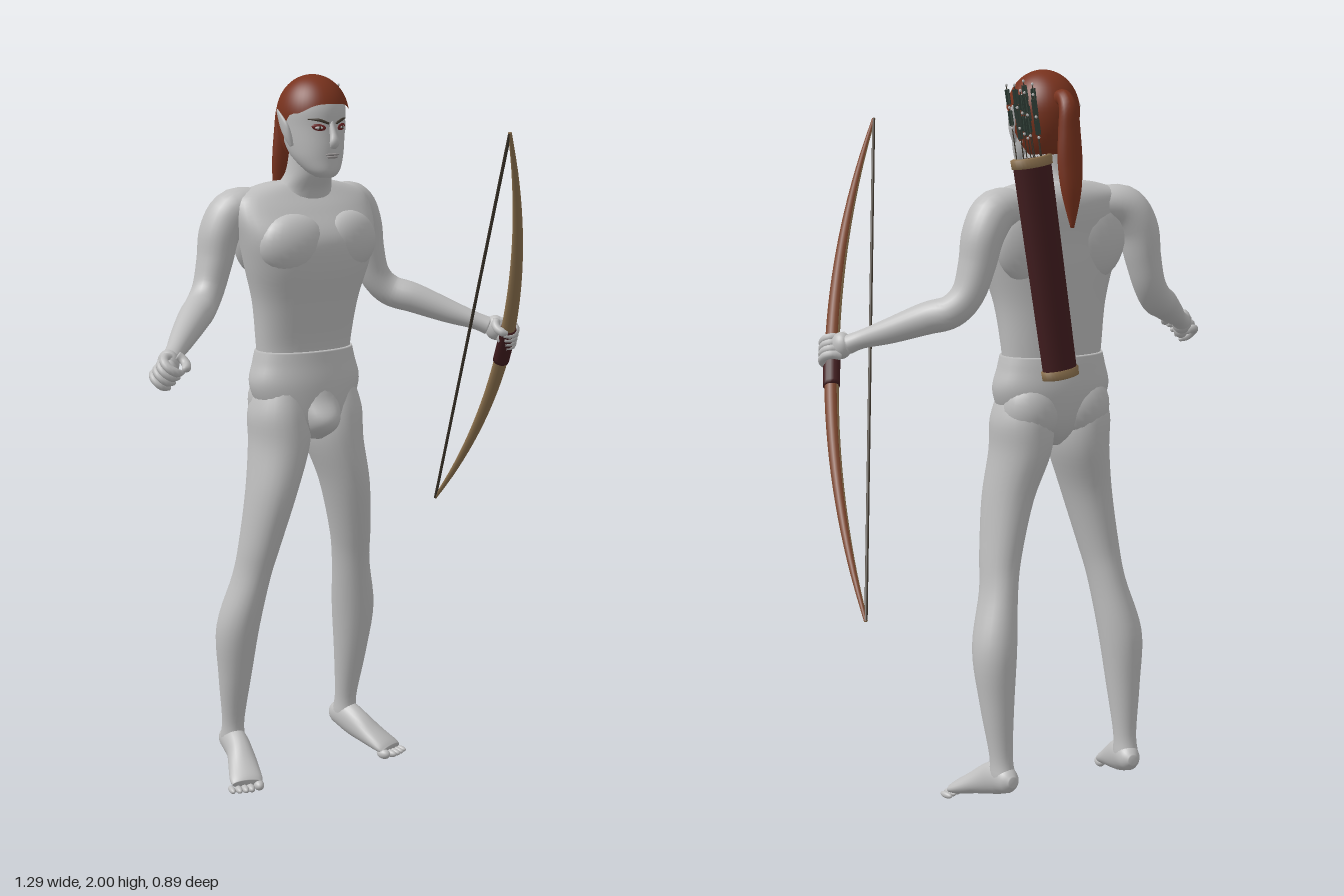
import * as THREE from 'three';
import { mergeVertices } from 'three/addons/utils/BufferGeometryUtils.js';

const V = (x, y, z) => new THREE.Vector3(x, y, z);
const paint = (name, color) => Object.assign(new THREE.MeshStandardMaterial({ color }), { name });

// Smooth interpolation of a list of number rows at t in 0..1
function sample(rows, t) {
  const f = t * (rows.length - 1), i = Math.min(Math.floor(f), rows.length - 2), u = f - i;
  const at = k => rows[Math.max(0, Math.min(rows.length - 1, k))];
  const [a, b, c, d] = [at(i - 1), at(i), at(i + 1), at(i + 2)];
  return b.map((_, k) => b[k] + 0.5 * u * (c[k] - a[k] + u * (2 * a[k] - 5 * b[k] + 4 * c[k] - d[k]
    + u * (3 * (b[k] - c[k]) + d[k] - a[k]))));
}

// Closed skin over elliptical rings; each row is [x, y, z, half width, half depth]
function skin(rows, { n = 24, steps = 5, ref = V(0, 0, 1), level = false, e = 2 } = {}) {
  const rings = (rows.length - 1) * steps, pos = [], index = [];
  const centre = t => V(...sample(rows, Math.max(0, Math.min(1, t))).slice(0, 3));
  for (let i = 0; i <= rings; i++) {
    const t = i / rings, r = sample(rows, t), c = V(r[0], r[1], r[2]);
    const T = centre(t + 0.01).sub(centre(t - 0.01));
    if (level) T.set(0, Math.sign(T.y), 0);
    T.normalize();
    const F = ref.clone().addScaledVector(T, -ref.dot(T)).normalize(), S = F.clone().cross(T);
    for (let j = 0; j < n; j++) {
      const q = j / n * Math.PI * 2 - Math.PI / 3, round = v => Math.sign(v) * Math.abs(v) ** (2 / e);
      const p = c.clone().addScaledVector(S, Math.max(r[3], 0.001) * round(Math.cos(q)))
        .addScaledVector(F, Math.max(r[4], 0.001) * round(Math.sin(q)));
      pos.push(p.x, p.y, p.z);
    }
  }
  for (let j = 0; j < n; j++) for (let i = 0; i < rings; i++) {
    const k = (j + 1) % n, a = i * n + j, b = i * n + k;
    index.push(a, b, b + n, a, b + n, a + n);
  }
  pos.push(...rows[0].slice(0, 3), ...rows[rows.length - 1].slice(0, 3));
  const end = (rings + 1) * n;
  for (let j = 0; j < n; j++) {
    const k = (j + 1) % n;
    index.push(end, k, j, end + 1, rings * n + j, rings * n + k);
  }
  const g = new THREE.BufferGeometry();
  g.setAttribute('position', new THREE.Float32BufferAttribute(pos, 3));
  g.setIndex(index);
  g.computeVertexNormals();
  return g;
}

export function createModel() {
  const flesh = paint('grey skin', 0xbebebe), hairRed = paint('auburn hair', 0x78321d);
  const tan = paint('tan wood', 0x8f7450), redWood = paint('red wood', 0x7a4228);
  const leather = paint('dark leather', 0x421d1f), feather = paint('dark feather', 0x33423a);
  const cord = paint('dark cord', 0x40382e), eyeRed = paint('eye red', 0x6c2424), lipGrey = paint('lip grey', 0x969292);
  const model = new THREE.Group(), figure = new THREE.Group();
  model.name = 'archer';
  figure.name = 'figure';
  figure.position.x = -0.055;
  model.add(figure);
  const add = (name, g, mat, parent = figure) => {
    const m = new THREE.Mesh(g, mat);
    m.name = name;
    parent.add(m);
    return m;
  };
  const ball = (name, mat, p, s, ry = 0, rz = 0) => {
    const m = add(name, new THREE.SphereGeometry(1, 24, 16), mat);
    m.position.set(...p);
    m.scale.set(...s);
    m.rotation.set(0, ry, rz);
  };
  const stack = rows => rows.map(r => [0, ...r]);

  // Trunk: rows are [height, z, half width, half depth]
  add('torso', skin(stack([[1.2, -.15, .14, .085], [1.27, -.15, .146, .088], [1.38, -.14, .16, .102], [1.48, -.13, .188, .118],
    [1.56, -.13, .207, .12], [1.63, -.155, .218, .1], [1.675, -.17, .2, .078], [1.703, -.17, .12, .055], [1.71, -.165, .06, .04]]),
  { level: true, e: 2.2, n: 40 }), flesh);
  add('neck', skin(stack([[1.65, -.165, .11, .08], [1.69, -.15, .082, .073], [1.735, -.12, .064, .066], [1.8, -.105, .06, .062]]),
    { level: true }), flesh);
  add('briefs', skin(stack([[.995, -.125, .025, .06], [1.03, -.13, .08, .088], [1.08, -.14, .14, .1], [1.15, -.147, .17, .104],
    [1.21, -.15, .158, .097], [1.245, -.15, .15, .092]]), { level: true, e: 2.1, n: 40 }), flesh);
  add('pouch', skin(stack([[.995, -.085, .012, .02], [1.025, -.066, .04, .05], [1.06, -.062, .054, .058], [1.11, -.083, .062, .05],
    [1.17, -.1, .06, .045], [1.2, -.11, .03, .02]]), { level: true }), flesh);

  // Head: skull, face and nose
  add('head', skin(stack([[1.727, -.04, .024, .028], [1.743, -.052, .046, .049], [1.775, -.075, .066, .073], [1.81, -.09, .076, .089],
    [1.86, -.1, .083, .097], [1.91, -.1, .086, .098], [1.95, -.1, .073, .084], [1.98, -.1, .04, .05], [1.988, -.1, .01, .01]]),
  { level: true, n: 36 }), flesh);
  add('nose', skin([[0, 1.875, -.012, .008, .01], [0, 1.845, .001, .009, .011], [0, 1.822, .008, .014, .012],
    [0, 1.808, .001, .01, .008]], { n: 14 }), flesh);
  ball('upperLip', lipGrey, [0, 1.789, -.002], [.022, .0035, .006]);
  ball('lowerLip', lipGrey, [0, 1.782, -.003], [.018, .004, .006]);

  for (const s of [1, -1]) {
    const side = s > 0 ? 'left' : 'right', flip = rows => rows.map(r => [r[0] * s, ...r.slice(1)]);
    ball(side + 'Chest', flesh, [.09 * s, 1.545, -.066], [.1, .085, .056], .2 * s);
    ball(side + 'ShoulderBlade', flesh, [.095 * s, 1.56, -.2], [.1, .12, .05]);
    ball(side + 'Buttock', flesh, [.073 * s, 1.1, -.177], [.085, .095, .074]);

    // Eyes and brows
    ball(side + 'EyeShadow', eyeRed, [.036 * s, 1.862, -.014], [.0195, .0095, .005], .47 * s, .15 * s);
    ball(side + 'Eyeball', flesh, [.037 * s, 1.861, -.012], [.012, .0045, .005], .47 * s);
    ball(side + 'Pupil', cord, [.036 * s, 1.861, -.009], [.0045, .0045, .003], .47 * s);
    add(side + 'Brow', skin(flip([[.012, 1.872, -.001, .003, .003], [.036, 1.881, -.011, .004, .003], [.06, 1.884, -.032, .002, .002]]),
      { n: 8 }), cord);
    add(side + 'Ear', skin(flip([[.078, 1.81, -.084, .005, .007], [.085, 1.835, -.09, .009, .015], [.092, 1.862, -.098, .008, .019],
      [.098, 1.888, -.11, .005, .011], [.102, 1.907, -.119, .002, .003]]), { n: 14 }), flesh);

    // Arm from shoulder to wrist
    add(side + 'Arm', skin(flip([[.1, 1.64, -.175, .045, .055], [.19, 1.637, -.195, .058, .062], [.234, 1.58, -.205, .055, .063],
      [.253, 1.5, -.205, .048, .056], [.277, 1.425, -.2, .043, .049], [.315, 1.378, -.178, .044, .046], [.365, 1.357, -.13, .043, .044],
      [.44, 1.32, -.06, .034, .034], [.495, 1.295, -.005, .025, .026], [.525, 1.28, .02, .026, .03]])), flesh);

    // Hand closed round a bar lying along the axis
    const axis = V(.276 * s, -.774, -.569), mid = V(.55 * s, 1.257, .06);
    const u = V(-.035 * s, .03, -.04).projectOnPlane(axis).normalize();
    const w = axis.clone().cross(u).multiplyScalar(s);
    const finger = (along, from, to, r) => [0, 1, 2, 3, 4, 5].map(k => {
      const q = from + (to - from) * k / 5;
      const p = mid.clone().addScaledVector(axis, along).addScaledVector(u, .03 * Math.cos(q)).addScaledVector(w, .03 * Math.sin(q));
      return [p.x, p.y, p.z, k === 5 ? r * .5 : r, k === 5 ? r * .5 : r];
    });
    ball(side + 'Palm', flesh, [.537 * s, 1.276, .036], [.027, .036, .034]);
    ball(side + 'PalmPad', flesh, [.55 * s, 1.257, .06], [.023, .034, .025]);
    for (let k = 0; k < 4; k++)
      add(side + 'Finger', skin(finger((k - 1.5) * .018, .2, 4.4 - k * .15, .0115), { n: 10, steps: 3, ref: axis }), flesh);
    add(side + 'Thumb', skin(finger(-.04, 0, -2.2, .012), { n: 10, steps: 3, ref: axis }), flesh);

    // Leg, foot and toes
    add(side + 'Leg', skin(flip([[.085, 1.15, -.145, .06, .08], [.088, 1.07, -.145, .083, .1], [.091, .98, -.14, .081, .102],
      [.123, .85, -.13, .067, .088], [.153, .7, -.145, .055, .071], [.17, .6, -.165, .05, .065], [.198, .45, -.195, .06, .067],
      [.2, .3, -.212, .047, .05], [.197, .16, -.23, .032, .034], [.196, .1, -.237, .033, .042], [.196, .075, -.24, .024, .036]]),
    { level: true }), flesh);
    add(side + 'Foot', skin(flip([[.19, .095, -.29, .014, .014], [.192, .094, -.268, .03, .034], [.198, .092, -.225, .035, .046],
      [.207, .076, -.18, .037, .043], [.225, .052, -.13, .043, .031], [.243, .031, -.085, .047, .021], [.249, .023, -.068, .043, .014]]),
    { ref: V(0, 1, 0) }), flesh);
    for (let k = 0; k < 5; k++) {
      const r = k ? .0115 - k * .0006 : .015;
      const x = k ? .226 + k * .0165 : .217;
      ball(side + 'Toe', flesh, [x * s, r + .001, -.06 - k * k * .0014], [r, r, .023], .25 * s);
    }
  }

  // Hair: a dome stretched down to an arched hairline, longest at the nape
  const dome = new THREE.SphereGeometry(1, 48, 24, 0, Math.PI * 2, 0, Math.PI / 2), hp = dome.attributes.position;
  const fade = THREE.MathUtils.smoothstep;
  for (let i = 0; i < hp.count; i++) {
    const x = hp.getX(i), z = hp.getZ(i), len = Math.hypot(x, z) || 1, f = z / len;
    const polar = Math.acos(Math.min(1, hp.getY(i))) / (Math.PI / 2)
      * (1.26 + .24 * (1 - fade(f, .45, 1)) + 1.02 * (1 - fade(f, -.6, .38)));
    const y = Math.cos(polar), r = Math.sin(polar);
    hp.setXYZ(i, x / len * r * .096, 1.89 + y * (y > 0 ? .11 : .15), -.1 + f * r * .107);
  }
  dome.deleteAttribute('uv');
  dome.deleteAttribute('normal');
  const hair = mergeVertices(dome, 1e-5);
  hair.computeVertexNormals();
  add('hair', hair, hairRed);
  add('ponytail', skin([[0, 1.92, -.18, .024, .024], [0, 1.927, -.212, .022, .021], [0, 1.9, -.238, .022, .026],
    [0, 1.84, -.243, .022, .032], [0, 1.76, -.248, .022, .036], [0, 1.68, -.256, .018, .028], [0, 1.59, -.262, .004, .005]],
  { ref: V(1, 0, 0), n: 16 }), hairRed);

  // Bow: the chord between the tips, bent outwards at the grip
  const bow = new THREE.Group();
  bow.name = 'bow';
  model.add(bow);
  const top = V(.2, 1.86, .44), low = V(.632, .655, -.445), out = V(.77, -.18, .62).normalize();
  const limb = (from, to, width) => Array.from({ length: 13 }, (_, i) => {
    const q = from + (to - from) * i / 12;
    const p = top.clone().lerp(low, (q + 1) / 2).addScaledVector(out, .108 * (1 - q * q));
    const r = width(Math.abs(q));
    return [p.x, p.y, p.z, r * .85, r];
  });
  // Red wood covers one third of the girth, tan wood the rest
  const limbs = skin(limb(-1, 1, q => .005 + .0155 * (1 - q ** 1.6)), { n: 12, steps: 3, ref: out });
  const third = 4 * 36 * 6;
  limbs.addGroup(0, third, 0);
  limbs.addGroup(third, limbs.index.count - third, 1);
  add('bowLimbs', limbs, [redWood, tan], bow);
  add('bowGrip', skin(limb(-.07, .11, () => .0235), { n: 14, steps: 1, ref: out }), leather, bow);
  add('bowString', new THREE.TubeGeometry(new THREE.LineCurve3(top, low), 1, .0045, 8), cord, bow);

  // Quiver: flattened tube with rims, hung at a slant on the back
  const quiver = new THREE.Group();
  quiver.name = 'quiver';
  quiver.position.set(-.008, 1.2, -.287);
  quiver.rotation.z = -.155;
  quiver.scale.z = .7;
  model.add(quiver);
  const lathe = pts => new THREE.LatheGeometry(pts.map(p => new THREE.Vector2(...p)), 32);
  add('quiverTube', lathe([[0, .002], [.047, .002], [.048, .01], [.053, .58], [.046, .58], [.043, .42], [0, .42]]), leather, quiver);
  for (const [y, r] of [[.012, .049], [.575, .054]])
    add('quiverRim', lathe([[r - .006, y - .014], [r + .003, y - .012], [r + .004, y + .01], [r - .008, y + .013]]), tan, quiver);

  // Arrows fanned in a spiral, each with two bands of crossed feathers and pale beads
  for (let i = 0; i < 9; i++) {
    const arrow = new THREE.Group(), r = .042 * Math.sqrt((i + .3) / 9), q = i * 2.4;
    arrow.name = 'arrow';
    arrow.position.set(r * Math.cos(q), .708 + .022 * Math.sin(i * 1.7), r * Math.sin(q));
    arrow.rotation.set(0, q, .04 * Math.cos(i));
    quiver.add(arrow);
    add('shaft', new THREE.CylinderGeometry(.0015, .0015, .34, 6).translate(0, -.12, 0), cord, arrow);
    for (const y of [.05, -.007, -.06])
      add('bead', new THREE.SphereGeometry(.004, 8, 6).translate(0, y, 0), flesh, arrow);
    for (let k = 0; k < 4; k++)
      add('feather', new THREE.BoxGeometry(.015, .038, .002).rotateY(k * Math.PI / 2)
        .translate(0, k < 2 ? .02 : -.034, 0), feather, arrow);
  }
  return model;
}
